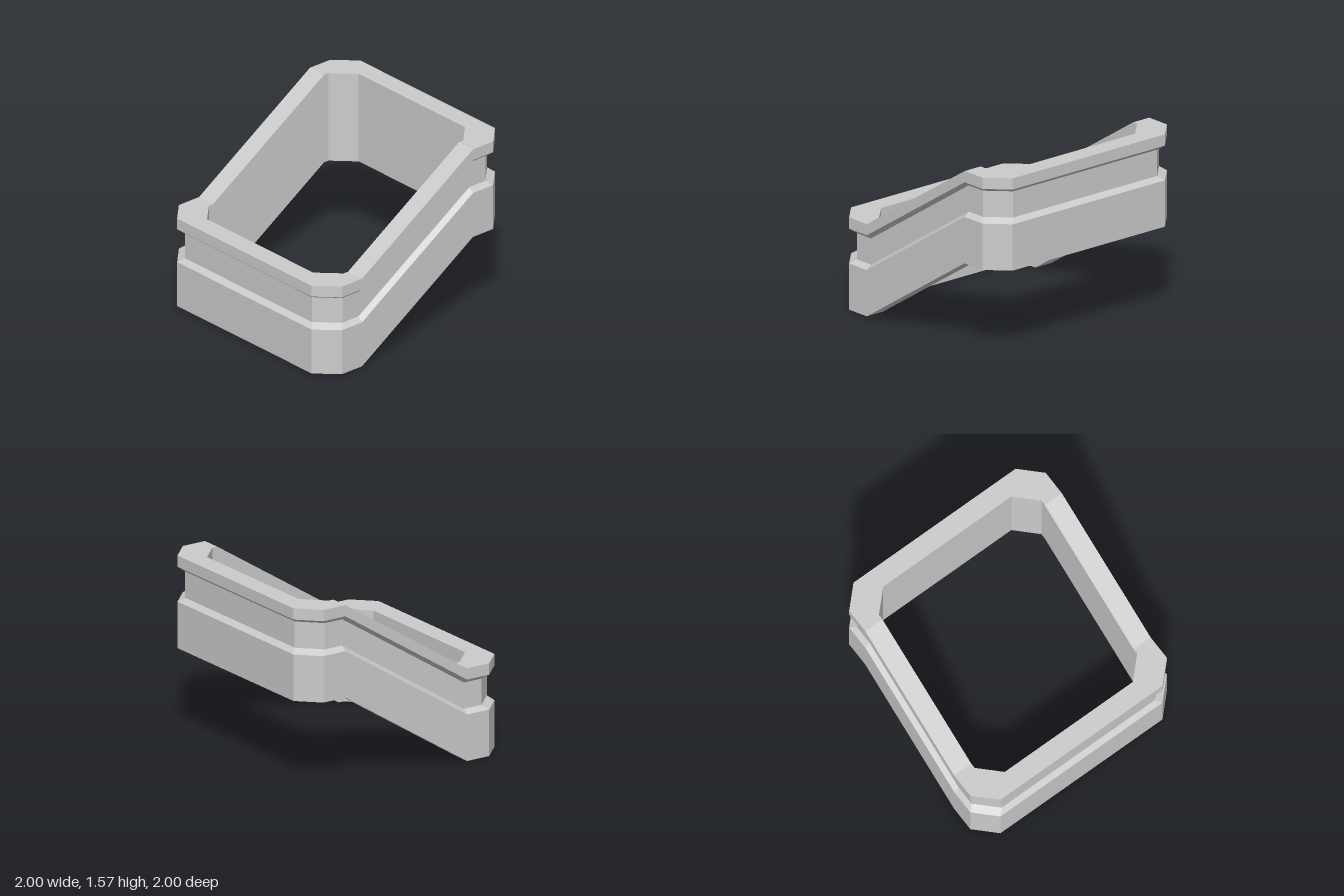
import * as THREE from 'three';

const CHAMFER = 0.175; // plan size of the cut corners
const BREAK = 0.605;   // x where the level ends meet the slope
const RISE = 0.777;    // height gained from the low end to the high end

// Height added at x: level, sloped, level
const lift = (x) => RISE * THREE.MathUtils.clamp((x + BREAK) / (2 * BREAK), 0, 1);

// Cut-cornered square of half width h, with extra points where the slope starts and ends
function planLoop(h) {
  const c = h - CHAMFER;
  const half = [[h, -c], [h, c], [c, h], [BREAK, h], [-BREAK, h], [-c, h]];
  return [...half, ...half.map(([x, z]) => [-x, -z])];
}

// Sweeps a profile of [half width, height] points round the plan, with flat faces
function band(name, profile, material) {
  const rings = profile.map(([h, y]) =>
    planLoop(h).map(([x, z]) => [x, y + lift(x), z]));
  const positions = [];
  for (let j = 0; j < rings.length - 1; j++) {
    const lower = rings[j], upper = rings[j + 1], n = lower.length;
    for (let i = 0; i < n; i++) {
      const k = (i + 1) % n;
      const a = lower[i], b = upper[i], c = upper[k], d = lower[k];
      positions.push(...a, ...b, ...c, ...a, ...c, ...d);
    }
  }
  const geometry = new THREE.BufferGeometry();
  geometry.setAttribute('position', new THREE.Float32BufferAttribute(positions, 3));
  geometry.computeVertexNormals();
  const mesh = new THREE.Mesh(geometry, material);
  mesh.name = name;
  return mesh;
}

export function createModel() {
  const group = new THREE.Group();
  group.name = 'slopedFrame';
  const material = new THREE.MeshStandardMaterial({ color: 0xcccccc, flatShading: true });

  const outer = 1, neck = 0.955, inner = 0.827;
  const top = 0.797;

  group.add(
    // Underside and tall lower wall
    band('lowerWall', [[inner, 0], [outer, 0], [outer, 0.4]], material),
    // Recessed groove with bevelled edges
    band('groove', [[outer, 0.4], [neck, 0.437], [neck, 0.663], [outer, 0.7]], material),
    // Top rim
    band('rim', [[outer, 0.7], [outer, top], [inner, top]], material),
    // Inside wall of the opening
    band('innerWall', [[inner, top], [inner, 0]], material),
  );
  return group;
}
